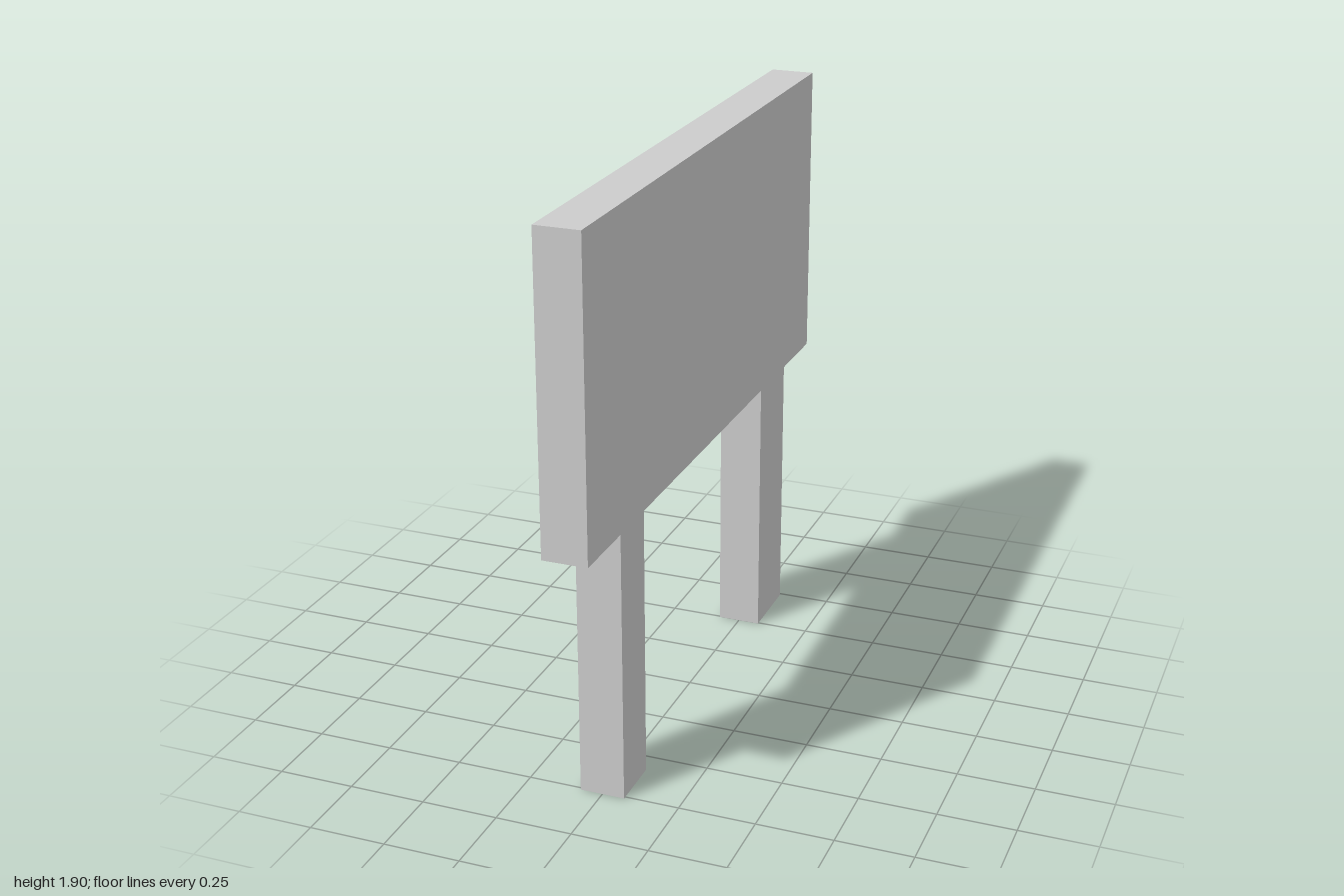
import * as THREE from 'three';

const THICKNESS = 0.146;
const PANEL_BOTTOM = 0.9;
const PANEL_TOP = 1.9;
// z ranges of the two legs, back to front
const LEGS = [[-0.74, -0.494], [0.578, 0.76]];

export function createModel() {
  const group = new THREE.Group();
  group.name = 'signBoard';

  // Side outline (z, y): panel with two legs, walked along the underside
  const outline = [[-1, PANEL_BOTTOM]];
  for (const [back, front] of LEGS) {
    outline.push([back, PANEL_BOTTOM], [back, 0], [front, 0], [front, PANEL_BOTTOM]);
  }
  outline.push([1, PANEL_BOTTOM], [1, PANEL_TOP], [-1, PANEL_TOP]);
  const shape = new THREE.Shape(outline.map(([z, y]) => new THREE.Vector2(z, y)));

  // Extrude through the thickness, then turn the outline into the z-y plane
  const geometry = new THREE.ExtrudeGeometry(shape, { depth: THICKNESS, bevelEnabled: false });
  geometry.translate(0, 0, -THICKNESS / 2);
  geometry.rotateY(-Math.PI / 2);

  const board = new THREE.Mesh(
    geometry,
    new THREE.MeshStandardMaterial({ color: 0xcccccc, flatShading: true })
  );
  board.name = 'panelWithLegs';
  group.add(board);
  return group;
}
